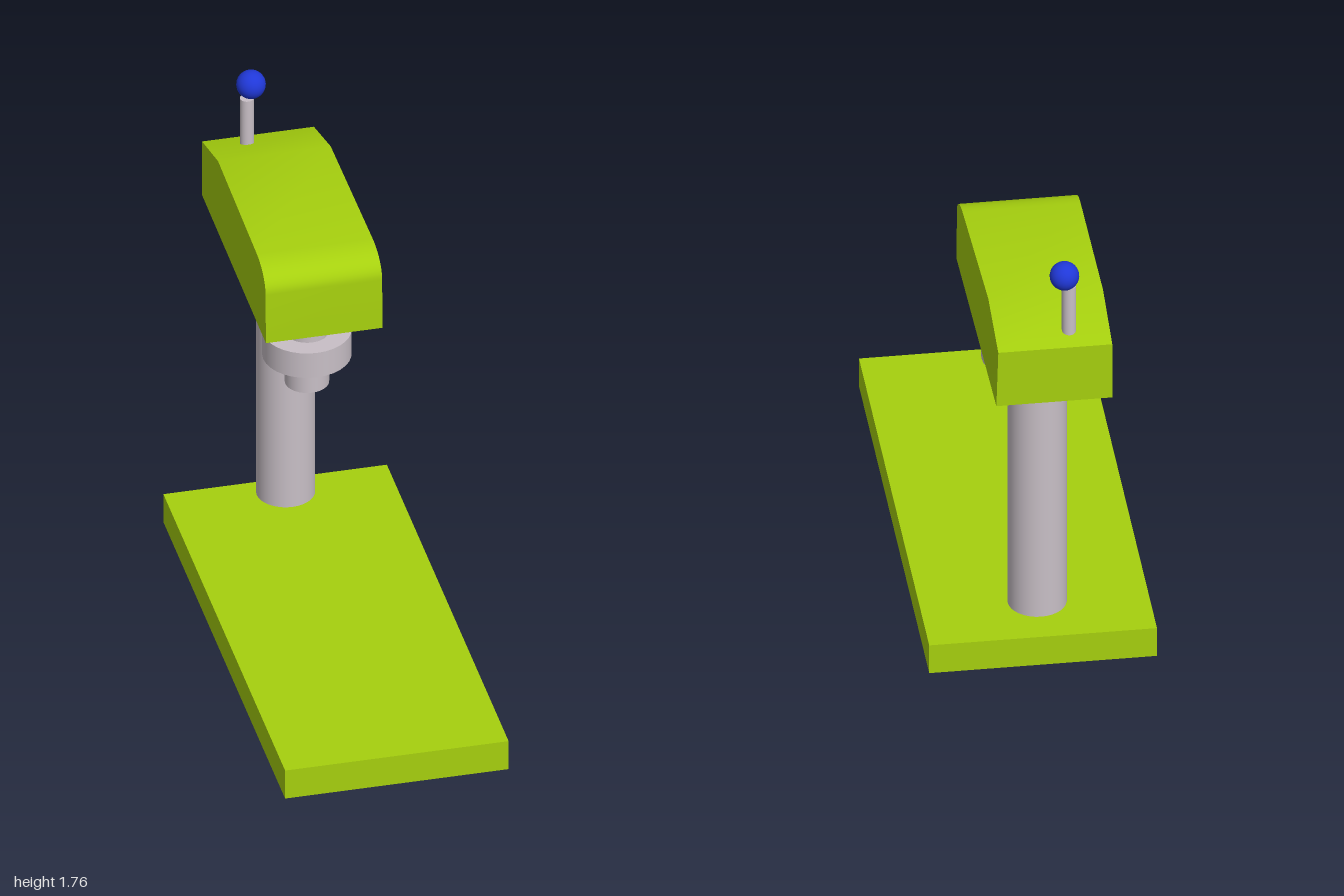
import * as THREE from 'three';
import { toCreasedNormals } from 'three/addons/utils/BufferGeometryUtils.js';

export function createModel() {
  const paint = new THREE.MeshStandardMaterial({ name: 'lime paint', color: 0xa6d00e });
  const steel = new THREE.MeshStandardMaterial({ name: 'pale steel', color: 0xc8bfc6 });
  const blue = new THREE.MeshStandardMaterial({ name: 'blue knob', color: 0x2038d8 });

  const model = new THREE.Group();
  model.name = 'drillPress';

  const add = (name, geometry, material, x = 0, y = 0, z = 0) => {
    const mesh = new THREE.Mesh(geometry, material);
    mesh.name = name;
    mesh.position.set(x, y, z);
    model.add(mesh);
    return mesh;
  };

  // Upright cylinder between two heights
  const post = (name, r, y0, y1, x, z) =>
    add(name, new THREE.CylinderGeometry(r, r, y1 - y0, 32), steel, x, (y0 + y1) / 2, z);

  // Base plate
  add('base', new THREE.BoxGeometry(0.805, 0.117, 1.82), paint, 0, 0.0585, 0.09);

  // Column, and spindle with its collar
  post('column', 0.104, 0.167, 1.222, 0, -0.664);
  post('spindle', 0.078, 0.86, 1.22, -0.01, -0.302);
  post('collar', 0.157, 0.968, 1.07, -0.008, -0.312);

  // Head: side profile (z, y) extruded across x
  const profile = new THREE.Shape();
  profile.moveTo(-0.045, 1.213);
  profile.lineTo(-0.05, 1.41);
  profile.bezierCurveTo(-0.05, 1.46, -0.1, 1.495, -0.18, 1.5);
  profile.lineTo(-0.76, 1.52);
  profile.lineTo(-1, 1.45);
  profile.lineTo(-1, 1.226);
  profile.closePath();
  const head = new THREE.ExtrudeGeometry(profile, { depth: 0.42, bevelEnabled: false, curveSegments: 12 });
  head.rotateY(-Math.PI / 2).translate(0.2, 0, 0);

  // Left side draws in slightly toward the back, a little more at the top
  const p = head.attributes.position;
  for (let i = 0; i < p.count; i++) {
    if (p.getX(i) < 0) continue;
    const back = -(p.getZ(i) + 0.05) / 0.95;
    const high = (p.getY(i) - 1.22) / 0.23;
    p.setX(i, 0.2 - Math.max(0, back) * (0.01 + 0.007 * high));
  }
  add('head', toCreasedNormals(head, 0.4), paint);

  // Feed lever and its ball knob
  post('lever', 0.025, 1.4, 1.66, -0.077, -0.922);
  add('knob', new THREE.SphereGeometry(0.052, 32, 20), blue, -0.06, 1.708, -0.932);

  return model;
}
